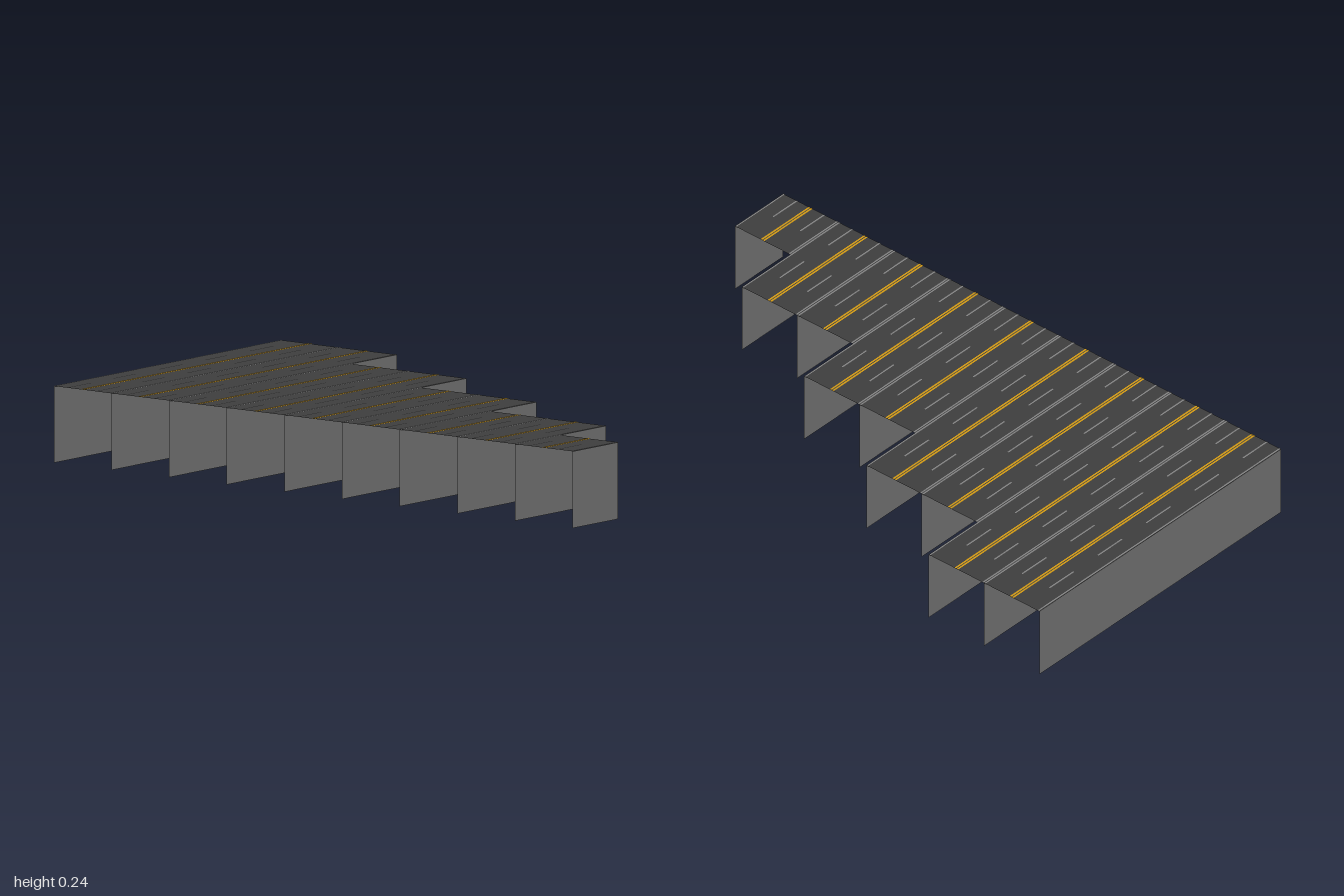
import * as THREE from 'three';

const CELL = 2 / 9;              // side of one square road module
const DECK_Y = 0.235;
const FRONT_Z = 2.5 * CELL;
const ROWS = [5, 5, 4, 4, 3, 3, 2, 2, 1]; // modules per lane strip, left to right

const material = (name, color, side = THREE.FrontSide) => {
  const m = new THREE.MeshStandardMaterial({ color, side });
  m.name = name;
  return m;
};

export function createModel() {
  const asphalt = material('asphalt', 0x3f3f3f, THREE.DoubleSide);
  const concrete = material('concrete', 0x808080, THREE.DoubleSide);
  const greyPaint = material('greyPaint', 0x858585);
  const yellowPaint = material('yellowPaint', 0xd69c12);
  const model = new THREE.Group();
  model.name = 'steppedRoadDeck';

  // Horizontal sheet running from z0 to z1
  const sheet = (parent, name, mat, x, width, z0, z1, y) => {
    const geo = new THREE.PlaneGeometry(width, z1 - z0).rotateX(-Math.PI / 2);
    const mesh = new THREE.Mesh(geo, mat);
    mesh.name = name;
    mesh.position.set(x, y, (z0 + z1) / 2);
    parent.add(mesh);
  };

  // Road strips with their painted lines
  ROWS.forEach((rows, i) => {
    const strip = new THREE.Group();
    strip.name = 'roadStrip';
    model.add(strip);
    const x = -1 + (i + 0.5) * CELL;
    const back = FRONT_Z - rows * CELL;
    const paintY = DECK_Y + 0.001;
    sheet(strip, 'deck', asphalt, x, CELL, back, FRONT_Z, DECK_Y);
    for (const s of [-1, 1]) {
      sheet(strip, 'centreLine', yellowPaint, x + s * 0.0045, 0.006, back, FRONT_Z, paintY);
      sheet(strip, 'edgeLine', greyPaint, x + s * 0.107, 0.005, back, FRONT_Z, paintY);
      for (let r = 0; r < rows; r++) {
        const z = back + (r + 0.5) * CELL;
        sheet(strip, 'laneDash', greyPaint, x + s * 0.055, 0.005, z, z + CELL / 2, paintY);
      }
    }
  });

  // Supporting walls under every joint and both outer edges
  for (let i = 0; i <= ROWS.length; i++) {
    const rows = Math.max(ROWS[i - 1] ?? 0, ROWS[i] ?? 0);
    const length = rows * CELL;
    const geo = new THREE.PlaneGeometry(length, DECK_Y, rows, 1).rotateY(Math.PI / 2);
    const wall = new THREE.Mesh(geo, concrete);
    wall.name = 'supportWall';
    wall.position.set(-1 + i * CELL, DECK_Y / 2, FRONT_Z - length / 2);
    model.add(wall);
  }
  return model;
}
